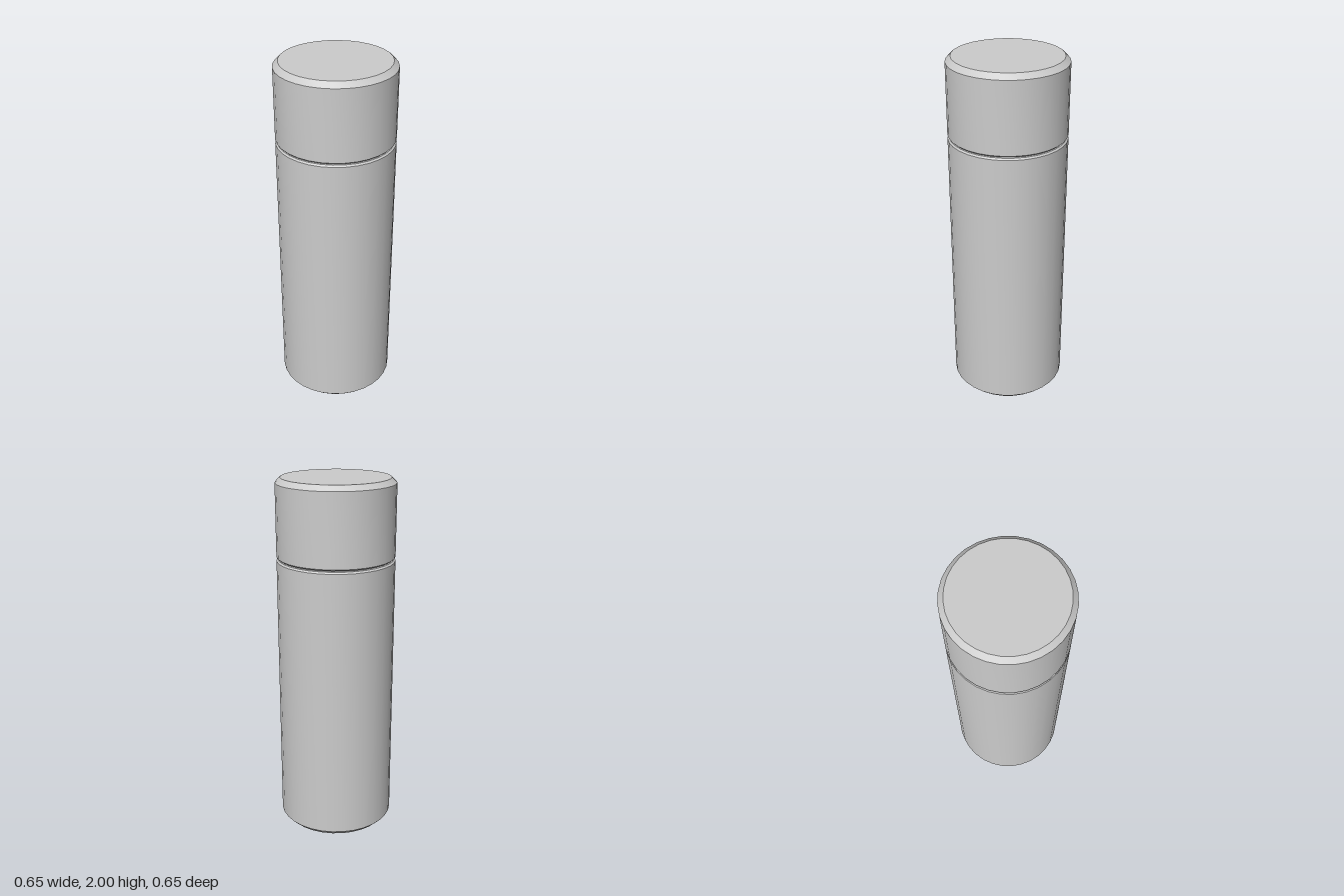
import * as THREE from 'three';
import { toCreasedNormals } from 'three/addons/utils/BufferGeometryUtils.js';

const SIDES = 32;
const RADIUS = 0.325;

export function createModel() {
  const group = new THREE.Group();
  group.name = 'flask';
  const material = new THREE.MeshStandardMaterial({ color: 0xcccccc });

  // Turned part: smooth around, crisp at the chamfers
  function turned(name, profile) {
    const points = profile.map(([r, y]) => new THREE.Vector2(r, y));
    const geometry = toCreasedNormals(new THREE.LatheGeometry(points, SIDES), 0.4);
    const mesh = new THREE.Mesh(geometry, material);
    mesh.name = name;
    group.add(mesh);
  }

  // Body with chamfered base and a fine chamfer at the shoulder
  turned('body', [
    [0, 0], [0.297, 0], [RADIUS, 0.028],
    [RADIUS, 1.553], [0.317, 1.562], [0, 1.562],
  ]);

  // Recessed neck showing in the seam
  const neck = new THREE.Mesh(
    new THREE.CylinderGeometry(0.3, 0.3, 0.03, SIDES, 1, true), material);
  neck.name = 'neck';
  neck.position.y = 1.567;
  group.add(neck);

  // Lid with a fine lower chamfer and a wider top chamfer
  turned('lid', [
    [0, 1.568], [0.317, 1.568], [RADIUS, 1.576],
    [RADIUS, 1.972], [0.297, 2], [0, 2],
  ]);

  return group;
}
